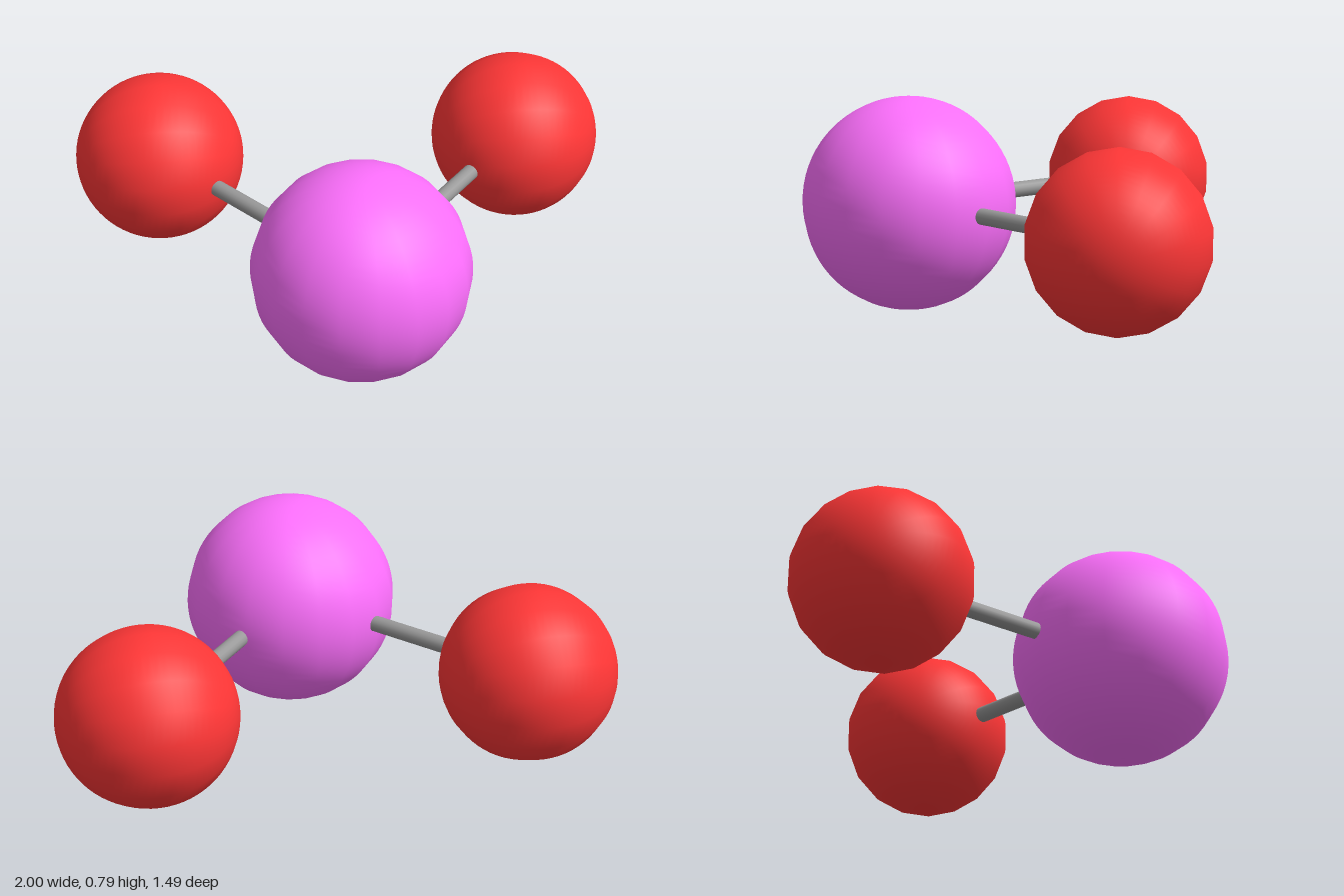
import * as THREE from 'three';

const Y = 0.396;

function makeBall(name, radius, color, position) {
  const mesh = new THREE.Mesh(
    new THREE.SphereGeometry(radius, 18, 36),
    new THREE.MeshStandardMaterial({ color })
  );
  mesh.name = name;
  mesh.position.copy(position);
  return mesh;
}

// Round rod running between two points
function makeRod(name, from, to, radius) {
  const dir = to.clone().sub(from);
  const mesh = new THREE.Mesh(
    new THREE.CylinderGeometry(radius, radius, dir.length(), 16),
    new THREE.MeshStandardMaterial({ color: 0x999999 })
  );
  mesh.name = name;
  mesh.position.copy(from).addScaledVector(dir, 0.5);
  mesh.quaternion.setFromUnitVectors(new THREE.Vector3(0, 1, 0), dir.normalize());
  return mesh;
}

export function createModel() {
  const model = new THREE.Group();
  model.name = 'ballAndStickMolecule';

  // Large central ball
  const centre = new THREE.Vector3(0, Y, 0.355);
  const centreBall = makeBall('centreBall', 0.394, 0xff70ff, centre);
  centreBall.rotation.y = THREE.MathUtils.degToRad(-7);
  model.add(centreBall);

  // Mirrored outer balls with their connecting rods
  for (const [side, s] of [['left', 1], ['right', -1]]) {
    const end = new THREE.Vector3(0.683 * s, Y, -0.434);
    const ball = makeBall(side + 'Ball', 0.317, 0xff3636, end);
    ball.rotation.z = Math.PI / 2;
    model.add(ball, makeRod(side + 'Rod', centre, end, 0.03));
  }
  return model;
}
